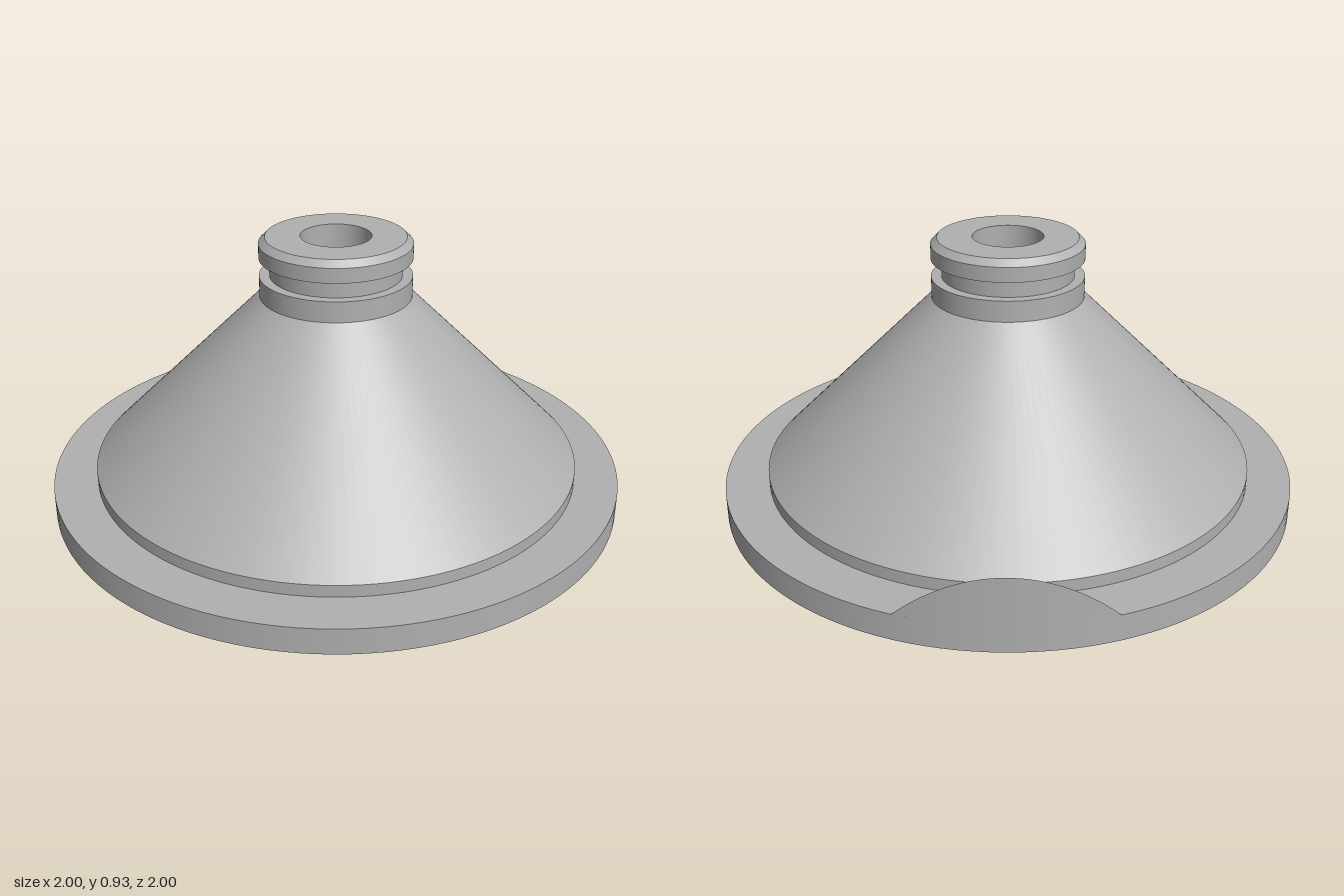
import * as THREE from 'three';
import { mergeGeometries } from 'three/addons/utils/BufferGeometryUtils.js';

const SEGMENTS = 128;
const RIM_TOP = 0.09, SHOULDER = 0.132, NECK_BASE = 0.723;
const OUTER = 1, CONE = 0.85, CAVITY = 0.77, HUB = 0.26, BORE = 0.12;

// Turned surface with a hard edge at every profile point
function turned(profile) {
  const bands = [];
  for (let i = 0; i < profile.length - 1; i++) {
    const pair = [profile[i], profile[i + 1]].map(([r, y]) => new THREE.Vector2(r, y));
    bands.push(new THREE.LatheGeometry(pair, SEGMENTS));
  }
  return mergeGeometries(bands);
}

// Smooth strip between two rows of points, lower row running left to right
function strip(lower, upper) {
  const n = lower.length, index = [];
  for (let i = 0; i < n - 1; i++) {
    index.push(i, i + 1, n + i + 1, i, n + i + 1, n + i);
  }
  const g = new THREE.BufferGeometry().setFromPoints([...lower, ...upper]);
  g.setIndex(index);
  g.computeVertexNormals();
  return g;
}

// Rounded tab: the rim's cylinder carried upward and cut by a sloping plane
function tabGeometry() {
  const chord = 0.943, height = 0.165, columns = 32;
  const limit = Math.acos(chord);
  const foot = [], crest = [], inner = [];
  for (let i = 0; i <= columns; i++) {
    const a = -limit + (2 * limit * i) / columns;
    const x = Math.sin(a), z = -Math.cos(a);
    const y = RIM_TOP + (height * (-z - chord)) / (1 - chord);
    foot.push(new THREE.Vector3(x, RIM_TOP, z));
    crest.push(new THREE.Vector3(x, y, z));
    inner.push(new THREE.Vector3(x, RIM_TOP, -chord));
  }
  const slope = strip(inner, crest);
  const back = strip([...foot].reverse(), [...crest].reverse());
  return mergeGeometries([slope, back]);
}

export function createModel() {
  const model = new THREE.Group();
  model.name = 'flangedCone';
  const grey = new THREE.MeshStandardMaterial({ color: 0xb0b0b0 });
  grey.name = 'grey';

  const add = (name, geometry) => {
    const mesh = new THREE.Mesh(geometry, grey);
    mesh.name = name;
    model.add(mesh);
  };

  // Flat ring with the upright wall of the cavity inside it
  add('rim', turned([
    [CAVITY, SHOULDER], [CAVITY, 0], [OUTER, 0], [OUTER, RIM_TOP], [CONE, RIM_TOP],
  ]));
  // Short shoulder and sloping shell
  add('coneOutside', turned([[CONE, RIM_TOP], [CONE, SHOULDER], [HUB, NECK_BASE]]));
  add('coneInside', turned([[HUB, 0.642], [CAVITY, SHOULDER]]));
  // Grooved collar with a chamfered top
  add('neck', turned([
    [HUB, NECK_BASE], [HUB, 0.795], [0.225, 0.795], [0.225, 0.857],
    [HUB, 0.857], [HUB, 0.908], [0.238, 0.93], [BORE, 0.93],
  ]));
  // Central tube inside the cavity and the through hole
  add('hub', turned([[BORE, 0], [HUB, 0], [HUB, 0.642]]));
  add('bore', turned([[BORE, 0.93], [BORE, 0]]));
  add('tab', tabGeometry());

  return model;
}
